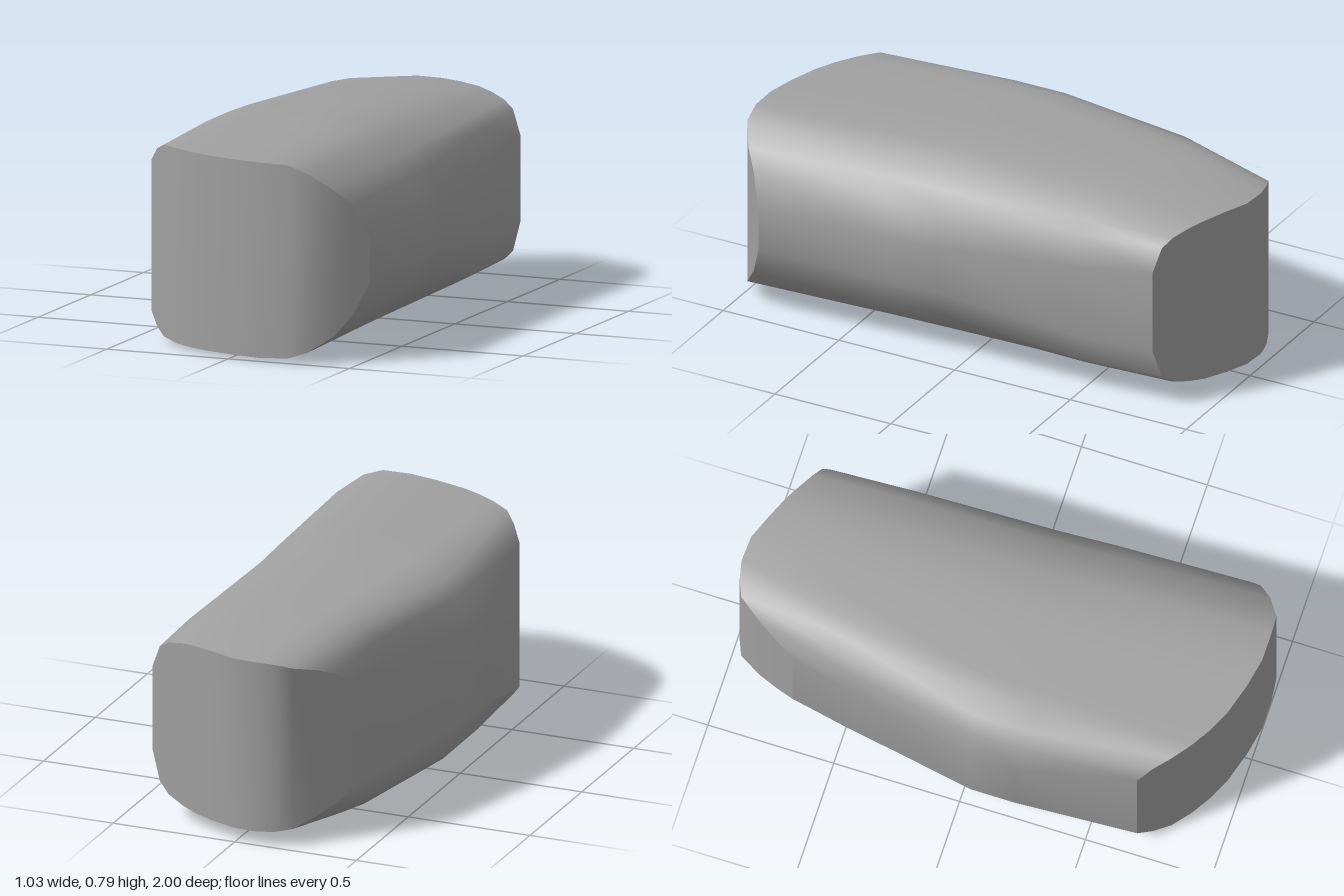
import * as THREE from 'three';

// piecewise linear lookup in [[x, y], ...]
function lookup(pts, x) {
  let i = 1;
  while (i < pts.length - 1 && x > pts[i][0]) i++;
  const [a, b] = [pts[i - 1], pts[i]];
  const t = THREE.MathUtils.clamp((x - a[0]) / (b[0] - a[0]), 0, 1);
  return a[1] + (b[1] - a[1]) * t;
}

// plan outline of the two end faces: x -> z
const FRONT = [[-0.45, 0.69], [-0.33, 0.82], [-0.2, 0.9], [-0.07, 0.96], [0.12, 1], [0.31, 1], [0.4, 0.95], [0.515, 0.84]];
const BACK = [[-0.36, -0.71], [-0.24, -0.95], [-0.12, -1], [0, -1], [0.18, -0.93], [0.42, -0.81]];

// columns across the width, 0 = -x side, 1 = +x side
const U = [0, 0.045, 0.1, 0.18, 0.26, 0.35, 0.48, 0.6, 0.72, 0.8, 0.89, 0.95, 1];

const MID_TOP = [0.575, 0.7, 0.755, 0.787, 0.79, 0.79, 0.79, 0.79, 0.775, 0.745, 0.68, 0.61, 0.49];
const REAR_TOP = [0.6, 0.7, 0.75, 0.775, 0.79, 0.79, 0.79, 0.785, 0.77, 0.74, 0.7, 0.66, 0.54];
const mirrorY = (ys) => ys.map((y) => 0.79 - y);

// cross-sections from back (s = 0) to front (s = 1)
const SECTIONS = [
  { s: 0, x0: -0.36, x1: 0.42,
    top: [0.61, 0.65, 0.69, 0.72, 0.735, 0.74, 0.74, 0.74, 0.735, 0.725, 0.705, 0.675, 0.58],
    bottom: [0.17, 0.13, 0.1, 0.07, 0.058, 0.055, 0.055, 0.055, 0.06, 0.07, 0.09, 0.13, 0.25] },
  { s: 0.2, x0: -0.42, x1: 0.45, top: REAR_TOP, bottom: mirrorY(REAR_TOP) },
  { s: 0.54, x0: -0.515, x1: 0.482, top: MID_TOP, bottom: mirrorY(MID_TOP) },
  { s: 0.67, x0: -0.515, x1: 0.493, top: MID_TOP, bottom: mirrorY(MID_TOP) },
  { s: 1, x0: -0.45, x1: 0.515,
    top: [0.68, 0.735, 0.763, 0.765, 0.765, 0.765, 0.765, 0.765, 0.763, 0.735, 0.67, 0.605, 0.475],
    bottom: [0.1, 0.05, 0.025, 0.015, 0.013, 0.013, 0.013, 0.013, 0.02, 0.045, 0.105, 0.185, 0.305] },
];

// top and bottom point of one column of a section
function column(sec, j) {
  const at = (e) => e.x0 + (e.x1 - e.x0) * U[j];
  const zb = lookup(BACK, at(SECTIONS[0]));
  const zf = lookup(FRONT, at(SECTIONS[SECTIONS.length - 1]));
  const z = zb + (zf - zb) * sec.s;
  return { top: [at(sec), sec.top[j], z], bottom: [at(sec), sec.bottom[j], z] };
}

function makeMesh(name, points, index, material) {
  const geo = new THREE.BufferGeometry();
  geo.setAttribute('position', new THREE.Float32BufferAttribute(points.flat(), 3));
  geo.setIndex(index);
  geo.computeVertexNormals();
  const mesh = new THREE.Mesh(geo, material);
  mesh.name = name;
  return mesh;
}

// smooth skin lofted through the sections
function makeShell(material) {
  const points = [], index = [], n = U.length * 2;
  SECTIONS.forEach((sec) => {
    const cols = U.map((_, j) => column(sec, j));
    points.push(...cols.map((c) => c.top), ...cols.map((c) => c.bottom).reverse());
  });
  for (let k = 0; k < SECTIONS.length - 1; k++) {
    for (let j = 0; j < n; j++) {
      const a = k * n + j, b = k * n + (j + 1) % n;
      index.push(a, a + n, b, b, a + n, b + n);
    }
  }
  return makeMesh('shell', points, index, material);
}

// end face curved in plan, made of upright strips
function makeEnd(name, sec, front, material) {
  const points = [], index = [];
  U.forEach((_, j) => {
    const c = column(sec, j);
    points.push(c.bottom, c.top);
    if (j === 0) return;
    const b = j * 2, a = b - 2;
    if (front) index.push(a, b, b + 1, a, b + 1, a + 1);
    else index.push(a, b + 1, b, a, a + 1, b + 1);
  });
  return makeMesh(name, points, index, material);
}

export function createModel() {
  const grey = new THREE.MeshStandardMaterial({ color: 0xa0a0a0 });
  grey.name = 'stone grey';
  const group = new THREE.Group();
  group.name = 'roundedBlock';
  group.add(
    makeShell(grey),
    makeEnd('frontFace', SECTIONS[SECTIONS.length - 1], true, grey),
    makeEnd('backFace', SECTIONS[0], false, grey),
  );
  return group;
}
